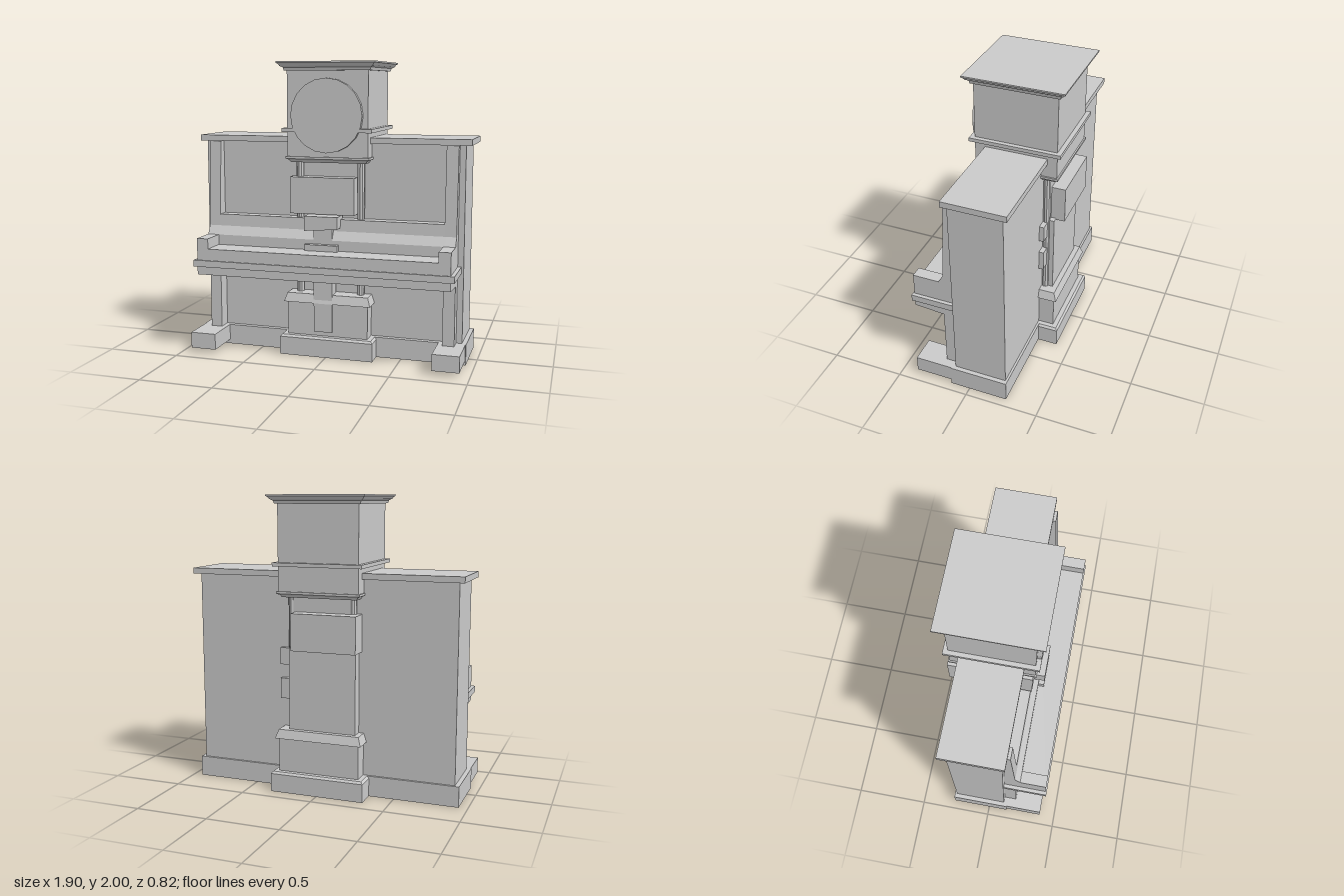
import * as THREE from 'three';

export function createModel() {
  const root = new THREE.Group();
  const mat = new THREE.MeshStandardMaterial({ color: 0xcccccc, flatShading: true, side: THREE.DoubleSide });

  const add = (name, geometry, parent) => {
    const mesh = new THREE.Mesh(geometry, mat);
    mesh.name = name;
    parent.add(mesh);
    return mesh;
  };
  // Box given by its limits on each axis
  const box = (parent, name, x0, x1, y0, y1, z0, z1) =>
    add(name, new THREE.BoxGeometry(x1 - x0, y1 - y0, z1 - z0)
      .translate((x0 + x1) / 2, (y0 + y1) / 2, (z0 + z1) / 2), parent);
  // Side profile of [z, y] points, extruded from x0 to x1
  const profile = (parent, name, pts, x0, x1) => {
    const shape = new THREE.Shape(pts.map(([z, y]) => new THREE.Vector2(z, y)));
    const g = new THREE.ExtrudeGeometry(shape, { depth: x1 - x0, bevelEnabled: false });
    return add(name, g.rotateY(-Math.PI / 2).translate(x1, 0, 0), parent);
  };
  // Square turned moulding from [half width, y] points
  const squareLathe = (parent, name, pts) => {
    const p = pts.map(([r, y]) => new THREE.Vector2(r * Math.SQRT2, y));
    return add(name, new THREE.LatheGeometry(p, 4, Math.PI / 4), parent);
  };

  // ---- Upright piano ----
  const piano = new THREE.Group();
  piano.name = 'piano';
  root.add(piano);
  box(piano, 'case', -0.87, 0.87, 0.13, 1.46, -0.25, 0.1);
  box(piano, 'lid', -0.95, 0.95, 1.46, 1.5, -0.29, 0.135);

  // Hollow plinth under the case
  box(piano, 'plinthFront', -0.94, 0.94, 0, 0.14, 0.1, 0.135);
  box(piano, 'plinthBack', -0.94, 0.94, 0, 0.14, -0.265, -0.235);

  for (const s of [-1, 1]) {
    const span = (a, b) => (s > 0 ? [a, b] : [-b, -a]);
    box(piano, 'plinthSide', ...span(0.91, 0.94), 0, 0.14, -0.265, 0.135);
    box(piano, 'sidePanel', ...span(0.87, 0.91), 0.13, 1.46, -0.25, 0.11);
    profile(piano, 'cheek', [[0, 0.74], [0.22, 0.74], [0.22, 0.81], [0.185, 0.87],
      [0.155, 1.46], [0, 1.46]], ...span(0.79, 0.87));
    box(piano, 'keyBlock', ...span(0.79, 0.87), 0.73, 0.81, 0.1, 0.4);
    box(piano, 'leg', ...span(0.79, 0.87), 0.13, 0.56, 0.08, 0.195);
    box(piano, 'foot', ...span(0.755, 0.935), 0.03, 0.14, 0.1, 0.39);
  }

  // Fallboard with its sloping top and the rail above it
  profile(piano, 'fallboard', [[0.05, 0.73], [0.22, 0.73], [0.22, 0.81], [0.185, 0.87],
    [0.18, 0.95], [0.05, 0.95]], -0.8, 0.8);
  profile(piano, 'keybed', [[0.05, 0.545], [0.22, 0.545], [0.4, 0.56], [0.4, 0.74], [0.05, 0.74]], -0.87, 0.87);
  box(piano, 'keySlip', -0.895, 0.895, 0.615, 0.66, 0.11, 0.41);

  // ---- Tall clock standing through the piano ----
  const clock = new THREE.Group();
  clock.name = 'clock';
  clock.position.z = -0.075;
  root.add(clock);

  squareLathe(clock, 'pedestal', [
    [0, 0.11], [0.17, 0.11], [0.19, 0.06], [0.25, 0.05], [0.29, 0], [0.328, 0],
    [0.328, 0.125], [0.315, 0.14], [0.283, 0.14], [0.283, 0.37], [0.305, 0.37],
    [0.285, 0.43], [0, 0.43]]);
  squareLathe(clock, 'hood', [
    [0, 1.315], [0.1, 1.315], [0.1, 1.33], [0.262, 1.33], [0.27, 1.345], [0.29, 1.355],
    [0.29, 1.37], [0.28, 1.37], [0.28, 1.535], [0.31, 1.535], [0.31, 1.56], [0.28, 1.56],
    [0.28, 1.94], [0.295, 1.94], [0.3, 1.96], [0.318, 1.97], [0.328, 1.985],
    [0.337, 1.99], [0.337, 2], [0, 2]]);
  add('dial', new THREE.CylinderGeometry(0.247, 0.247, 0.03, 20)
    .rotateX(Math.PI / 2).translate(0, 1.645, 0.295), clock);

  // Trunk with its four corner columns
  box(clock, 'trunk', -0.2, 0.2, 0.42, 1.33, -0.215, 0.15);
  for (const x of [-0.215, 0.215]) for (const z of [-0.195, 0.205])
    add('column', new THREE.CylinderGeometry(0.025, 0.025, 0.92, 10).translate(x, 0.88, z), clock);
  box(clock, 'backPanel', -0.25, 0.22, 0.43, 0.99, -0.25, -0.15);
  box(clock, 'movementBox', -0.27, 0.182, 0.98, 1.23, -0.31, 0.265);

  // Blocks at the back corner of the trunk
  for (const [y0, y1] of [[0.63, 0.77], [0.865, 0.98]])
    box(clock, 'sideBlock', 0.2, 0.3, y0, y1, -0.208, -0.15);

  // Pendulum rod and weights in front
  box(clock, 'pendulumRod', -0.092, 0.038, 0.17, 0.9, 0.2, 0.297);
  box(clock, 'lowerWeight', -0.145, 0.085, 0.73, 0.782, 0.2, 0.335);
  const weight = new THREE.Shape([[-0.145, 0.875], [0.085, 0.893], [0.085, 0.975], [-0.145, 0.975]]
    .map(([x, y]) => new THREE.Vector2(x, y)));
  add('upperWeight', new THREE.ExtrudeGeometry(weight, { depth: 0.135, bevelEnabled: false })
    .translate(0, 0, 0.2), clock);

  return root;
}
